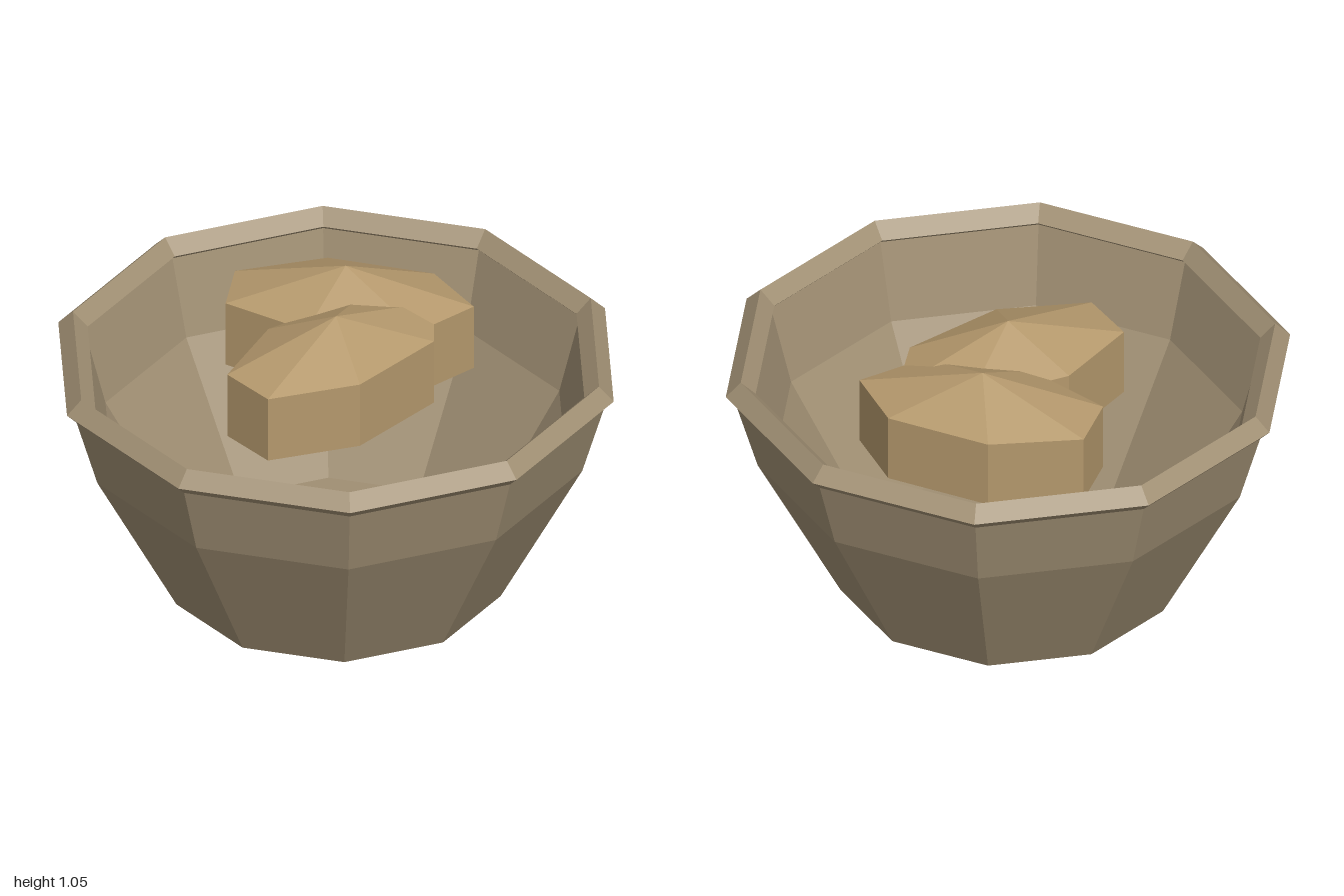
import * as THREE from 'three';

const SIDES = 10;

// Faceted shading baked into the normals
function faceted(geometry) {
  const g = geometry.index ? geometry.toNonIndexed() : geometry;
  g.computeVertexNormals();
  return g;
}

export function createModel() {
  const group = new THREE.Group();
  const clay = new THREE.MeshStandardMaterial({ color: 0xa08f73 });
  clay.name = 'clay';
  const crust = new THREE.MeshStandardMaterial({ color: 0xb4986c });
  crust.name = 'crust';

  const add = (name, geometry, material) => {
    const mesh = new THREE.Mesh(faceted(geometry), material);
    mesh.name = name;
    group.add(mesh);
    return mesh;
  };

  // Bowl: outer wall up, over the lip, inner wall down to the floor
  const profile = [
    [0, 0], [0.593, 0], [0.887, 0.56], [0.975, 0.86],
    [0.91, 0.86], [0.83, 0.56], [0.53, 0.06], [0, 0.06],
  ].map(([r, y]) => new THREE.Vector2(r, y));
  add('bowl', new THREE.LatheGeometry(profile, SIDES, Math.PI / 2), clay);

  // Rim: diamond-section ring around the lip
  const rim = new THREE.TorusGeometry(0.947, 0.053, 4, SIDES);
  rim.rotateX(Math.PI / 2);
  rim.translate(0, 0.86, 0);
  add('rim', rim, clay);

  // Two seven-sided flattened lumps of food
  const lumps = [
    { name: 'frontLump', x: 0, z: 0, turn: -160 },
    { name: 'backLump', x: 0.15, z: -0.3, turn: 150.5 },
  ];
  for (const { name, x, z, turn } of lumps) {
    const lump = new THREE.SphereGeometry(1, 7, 3);
    lump.scale(0.52, 0.25, 0.288);
    const mesh = add(name, lump, crust);
    mesh.rotation.y = THREE.MathUtils.degToRad(turn);
    mesh.position.set(x, 0.797, z);
  }

  return group;
}
